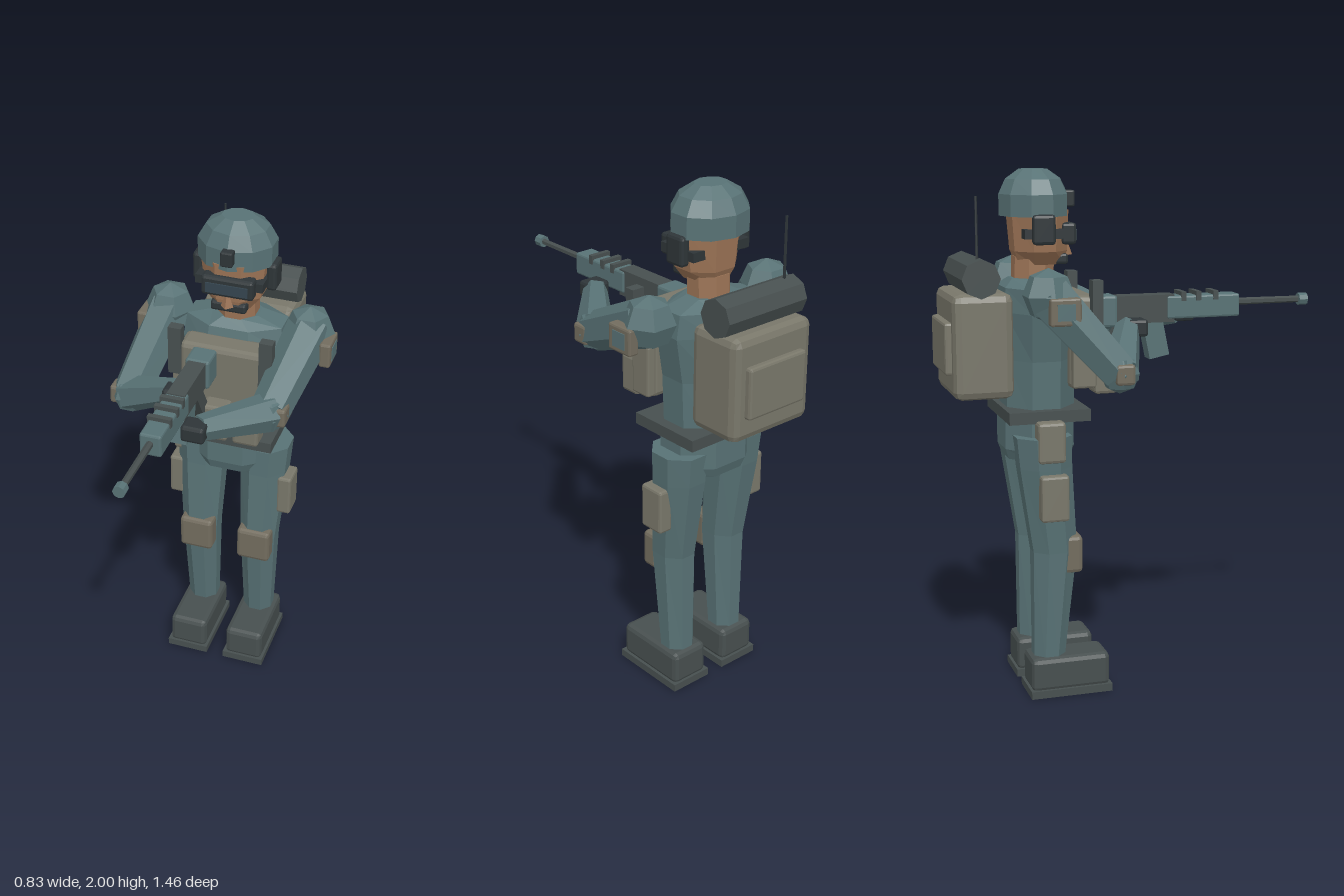
import * as THREE from 'three';
import { RoundedBoxGeometry } from 'three/addons/geometries/RoundedBoxGeometry.js';

const colour = (name, hex) => {
  const m = new THREE.MeshStandardMaterial({ color: hex });
  m.name = name;
  return m;
};

export function createModel() {
  const root = new THREE.Group();
  root.name = 'soldier';
  const uniform = colour('uniform', 0x587275);
  const olive = colour('olive', 0x79776a);
  const pad = colour('pad', 0x726c5e);
  const dark = colour('dark', 0x474f4f);
  const black = colour('black', 0x2e3538);
  const skin = colour('skin', 0x9c7456);
  const lens = colour('lens', 0x35454f);
  const CX = 0.02; // body centre line

  // Faceted mesh
  const add = (name, geo, mat, parent = root) => {
    const g = geo.index ? geo.toNonIndexed() : geo;
    g.computeVertexNormals();
    const mesh = new THREE.Mesh(g, mat);
    mesh.name = name;
    parent.add(mesh);
    return mesh;
  };
  const group = (name) => {
    const g = new THREE.Group();
    g.name = name;
    root.add(g);
    return g;
  };

  // Box from extents, with optional chamfer
  const box = (name, mat, [x0, x1], [y0, y1], [z0, z1], parent = root, bevel = 0) => {
    const s = [x1 - x0, y1 - y0, z1 - z0];
    const geo = bevel ? new RoundedBoxGeometry(...s, 1, bevel) : new THREE.BoxGeometry(...s);
    const m = add(name, geo, mat, parent);
    m.position.set((x0 + x1) / 2, (y0 + y1) / 2, (z0 + z1) / 2);
    return m;
  };

  // Closed loft through level rings [x, y, z, rx, rz], bottom to top
  const loft = (name, mat, rings, n, parent = root) => {
    const pos = [], idx = [];
    const k = 1 / Math.cos(Math.PI / n);
    for (const [x, y, z, rx, rz] of rings) {
      for (let i = 0; i < n; i++) {
        const a = ((i + 0.5) / n) * Math.PI * 2;
        pos.push(x + rx * k * Math.cos(a), y, z + rz * k * Math.sin(a));
      }
    }
    const last = rings.length - 1;
    for (let j = 0; j < last; j++) {
      for (let i = 0; i < n; i++) {
        const a = j * n + i, b = j * n + ((i + 1) % n);
        idx.push(a, a + n, b + n, a, b + n, b);
      }
    }
    for (let i = 1; i < n - 1; i++) {
      idx.push(0, i, i + 1, last * n, last * n + i + 1, last * n + i);
    }
    const g = new THREE.BufferGeometry();
    g.setAttribute('position', new THREE.Float32BufferAttribute(pos, 3));
    g.setIndex(idx);
    return add(name, g, mat, parent);
  };

  // Tapered limb between two points
  const limb = (name, mat, a, b, ra, rb, n, parent = root) => {
    const p = new THREE.Vector3(...a), q = new THREE.Vector3(...b);
    const d = q.clone().sub(p);
    const m = add(name, new THREE.CylinderGeometry(rb, ra, d.length(), n), mat, parent);
    m.position.copy(p).add(q).multiplyScalar(0.5);
    m.quaternion.setFromUnitVectors(new THREE.Vector3(0, 1, 0), d.normalize());
    return m;
  };
  const ball = (name, mat, p, r, parent, w = 6, h = 4) => {
    const m = add(name, new THREE.SphereGeometry(r, w, h), mat, parent);
    m.position.set(...p);
    return m;
  };

  // Head
  const head = group('head');
  loft('neck', skin, [[0.025, 1.54, -0.365, 0.075, 0.075], [0.025, 1.68, -0.36, 0.075, 0.075]], 8, head);
  loft('face', skin, [
    [CX, 1.65, -0.335, 0.07, 0.085], [CX, 1.7, -0.34, 0.11, 0.1], [CX, 1.85, -0.343, 0.127, 0.108]], 8, head);
  loft('helmet', uniform, [
    [CX, 1.83, -0.357, 0.145, 0.125], [CX, 1.91, -0.357, 0.145, 0.125],
    [CX, 1.965, -0.357, 0.115, 0.1], [CX, 2.0, -0.357, 0.06, 0.052]], 10, head);
  const nose = add('nose', new THREE.ConeGeometry(0.025, 0.07, 4), skin, head);
  nose.position.set(CX, 1.715, -0.233);
  box('goggles', black, [-0.08, 0.125], [1.725, 1.805], [-0.27, -0.215], head, 0.012);
  box('goggleLens', lens, [-0.06, 0.105], [1.74, 1.78], [-0.216, -0.21], head);
  box('goggleStrap', black, [-0.112, 0.152], [1.75, 1.785], [-0.42, -0.25], head);
  box('mouthGuard', black, [-0.05, 0.09], [1.65, 1.69], [-0.29, -0.24], head, 0.01);
  box('helmetMount', black, [0, 0.047], [1.86, 1.92], [-0.24, -0.2], head, 0.006);
  for (const s of [-1, 1]) {
    const x = CX + s * 0.145;
    box('earCup', black, [x - 0.02, x + 0.02], [1.73, 1.84], [-0.395, -0.31], head, 0.012);
  }

  // Torso
  loft('torso', uniform, [
    [CX, 1.08, -0.353, 0.155, 0.13], [CX, 1.3, -0.353, 0.165, 0.13], [CX, 1.48, -0.36, 0.2, 0.13],
    [CX, 1.57, -0.37, 0.19, 0.115], [CX, 1.6, -0.37, 0.09, 0.08]], 8);
  box('belt', dark, [-0.175, 0.22], [1.075, 1.12], [-0.503, -0.193]);
  loft('hips', uniform, [[CX, 0.92, -0.36, 0.155, 0.12], [CX, 0.96, -0.36, 0.178, 0.133],
    [CX, 1.08, -0.36, 0.178, 0.133]], 8);

  // Vest
  const vest = group('vest');
  box('chestPlate', olive, [-0.145, 0.195], [1.19, 1.54], [-0.26, -0.15], vest, 0.02);
  for (const x of [-0.105, 0.02, 0.145]) {
    box('magazinePouch', olive, [x - 0.052, x + 0.052], [1.17, 1.32], [-0.17, -0.082], vest, 0.012);
  }
  for (const x of [-0.16, 0.2]) {
    box('shoulderStrap', dark, [x - 0.026, x + 0.026], [1.4, 1.6], [-0.185, -0.145], vest);
    box('sidePanel', olive, [x - 0.02, x + 0.02], [1.2, 1.4], [-0.26, -0.17], vest, 0.008);
  }

  // Backpack
  const pack = group('backpack');
  box('packBody', olive, [-0.16, 0.21], [1.17, 1.56], [-0.7, -0.475], pack, 0.03);
  box('packPocket', olive, [-0.11, 0.16], [1.26, 1.455], [-0.725, -0.68], pack, 0.01);
  limb('bedroll', dark, [-0.16, 1.615, -0.595], [0.21, 1.615, -0.595], 0.072, 0.072, 8, pack);
  limb('antenna', black, [-0.11, 1.55, -0.6], [-0.11, 1.91, -0.6], 0.006, 0.005, 5, pack);

  // Legs
  for (const s of [-1, 1]) {
    const leg = group(s < 0 ? 'rightLeg' : 'leftLeg');
    const x = CX + s * 0.125;
    loft('trousers', uniform, [
      [x, 0.14, -0.35, 0.06, 0.06], [x + s * 0.002, 0.57, -0.325, 0.074, 0.085],
      [x + s * 0.008, 0.9, -0.36, 0.094, 0.1], [x + s * 0.01, 1.02, -0.367, 0.1, 0.105]], 8, leg);
    box('bootSole', dark, [x - 0.088, x + 0.088], [0, 0.03], [-0.437, -0.115], leg);
    box('boot', dark, [x - 0.08, x + 0.08], [0.02, 0.155], [-0.43, -0.122], leg, 0.02);
    box('kneePad', pad, [x - 0.07, x + 0.07], [0.485, 0.63], [-0.3, -0.225], leg, 0.015);
    const px = x + s * 0.106;
    box('thighPouch', olive, [px - 0.03, px + 0.03], [0.71, 0.885], [-0.4, -0.293], leg, 0.01);
  }
  box('hipPouch', olive, [-0.225, -0.15], [0.93, 1.085], [-0.405, -0.3], root, 0.012);

  // Arms
  const arms = [
    { name: 'rightArm', s: -1, shoulder: [-0.255, 1.56, -0.37], elbow: [-0.34, 1.28, -0.13], wrist: [-0.1, 1.41, -0.025],
      hand: [-0.1, 1.41, 0.005] },
    { name: 'leftArm', s: 1, shoulder: [0.308, 1.56, -0.37], elbow: [0.26, 1.4, -0.01], wrist: [0.07, 1.44, 0.225],
      hand: [0.06, 1.44, 0.245] },
  ];
  for (const { name, s, shoulder, elbow, wrist, hand } of arms) {
    const arm = group(name);
    ball('shoulder', uniform, shoulder, 0.1, arm);
    limb('upperArm', uniform, shoulder, elbow, 0.092, 0.075, 6, arm);
    ball('elbow', uniform, elbow, 0.075, arm);
    limb('forearm', uniform, elbow, wrist, 0.075, 0.048, 6, arm);
    const [hx, hy, hz] = hand;
    box('glove', black, [hx - 0.045, hx + 0.045], [hy - 0.033, hy + 0.033], [hz - 0.04, hz + 0.04], arm, 0.012);
    const px = shoulder[0] + s * 0.085;
    box('armPocket', pad, [px - 0.022, px + 0.022], [1.46, 1.56], [-0.39, -0.275], arm, 0.008);
    const qx = px + s * 0.021;
    box('armPatch', uniform, [qx - 0.004, qx + 0.004], [1.48, 1.54], [-0.365, -0.3], arm);
    const [ex, ey, ez] = elbow;
    const ep = ex + s * 0.045;
    box('elbowPad', pad, [ep - 0.027, ep + 0.027], [ey - 0.035, ey + 0.04], [ez - 0.03, ez + 0.04], arm, 0.01);
  }

  // Rifle
  const rifle = group('rifle');
  const GX = -0.04;
  const span = (w) => [GX - w / 2, GX + w / 2];
  box('stock', uniform, span(0.095), [1.41, 1.53], [-0.17, -0.06], rifle, 0.01);
  box('receiver', dark, span(0.07), [1.42, 1.525], [-0.08, 0.17], rifle);
  box('handguard', uniform, span(0.082), [1.432, 1.52], [0.14, 0.435], rifle, 0.008);
  for (const z of [0.205, 0.265, 0.335]) {
    box('railRib', dark, span(0.09), [1.5, 1.535], [z - 0.01, z + 0.01], rifle);
  }
  limb('barrel', dark, [GX, 1.485, 0.42], [GX, 1.485, 0.71], 0.014, 0.013, 6, rifle);
  limb('muzzle', uniform, [GX, 1.485, 0.695], [GX, 1.485, 0.73], 0.024, 0.024, 8, rifle);
  const magazine = box('magazine', uniform, span(0.065), [1.285, 1.45], [0.055, 0.135], rifle);
  magazine.rotation.x = -0.2;
  const grip = box('pistolGrip', dark, span(0.05), [1.27, 1.44], [-0.085, -0.03], rifle);
  grip.rotation.x = 0.55;

  return root;
}
